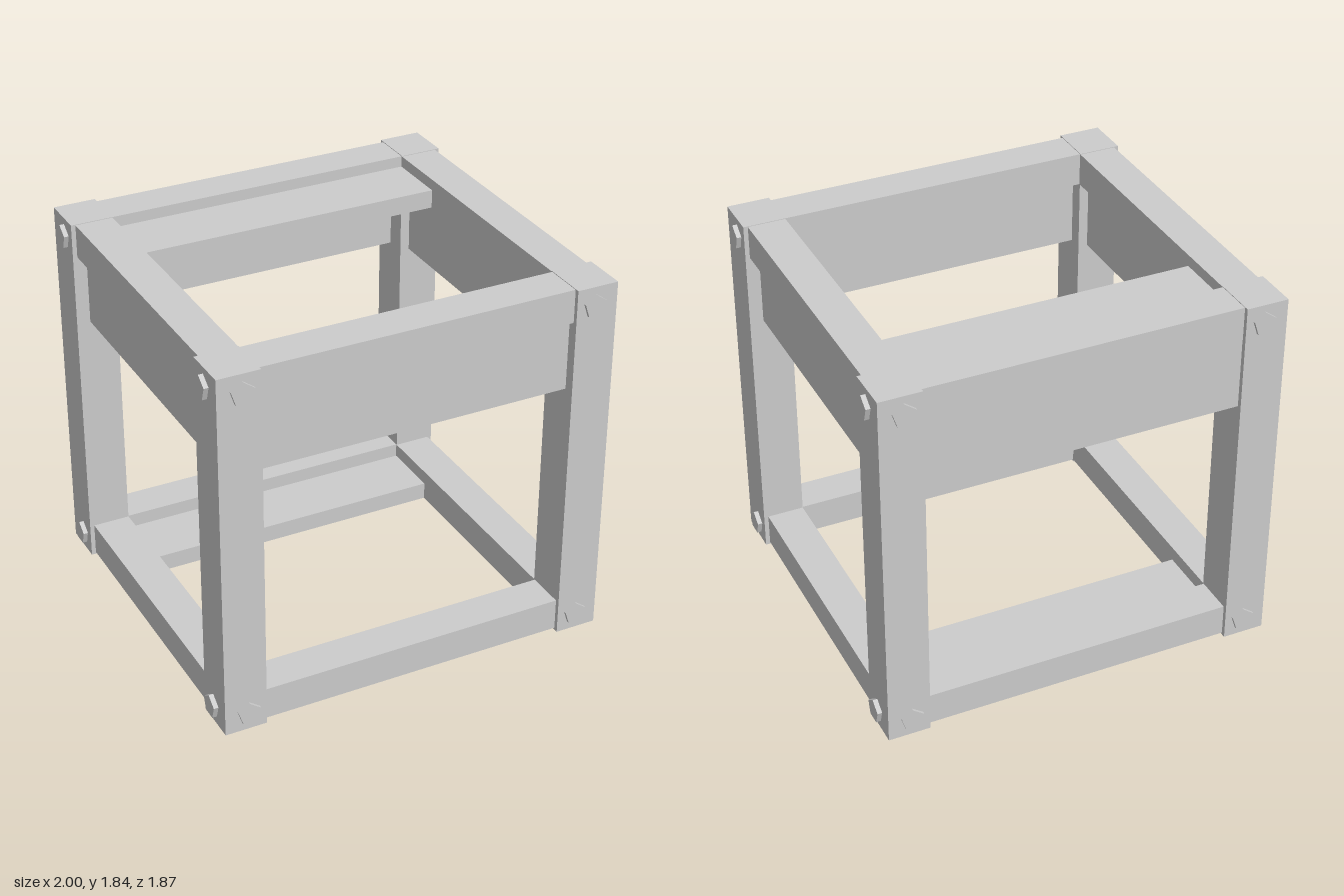
import * as THREE from 'three';

export function createModel() {
  const model = new THREE.Group();
  model.name = 'boltedTimberFrame';
  const grey = new THREE.MeshStandardMaterial({ color: 0xcccccc, flatShading: true });
  grey.name = 'plainGrey';

  // Box given by its low and high limits on each axis
  function beam(name, [x0, x1], [y0, y1], [z0, z1]) {
    const mesh = new THREE.Mesh(new THREE.BoxGeometry(x1 - x0, y1 - y0, z1 - z0), grey);
    mesh.position.set((x0 + x1) / 2, (y0 + y1) / 2, (z0 + z1) / 2);
    mesh.name = name;
    model.add(mesh);
  }
  const span = (a, b, side) => (side > 0 ? [a, b] : [-b, -a]);

  // Five-sided bolt heads, one point upwards
  const boltGeometry = new THREE.CylinderGeometry(0.058, 0.058, 0.06, 5);
  boltGeometry.rotateX(-Math.PI / 2);
  function bolt(name, x, y, z, turn) {
    const mesh = new THREE.Mesh(boltGeometry, grey);
    mesh.position.set(x, y, z);
    mesh.rotation.y = turn;
    mesh.name = name;
    model.add(mesh);
  }

  const innerX = 0.77, innerZ = 0.7;
  const acrossX = [-innerX, innerX], acrossZ = [-innerZ, innerZ];

  // Corner posts with bolts on both outer faces
  for (const sx of [-1, 1]) {
    for (const sz of [-1, 1]) {
      beam('cornerPost', span(innerX, 0.977, sx), [0, 1.84], span(innerZ, 0.922, sz));
      for (const y of [0.09, 1.75]) {
        bolt('endBolt', sx * 0.86, y, sz * 0.907, sz > 0 ? 0 : Math.PI);
        bolt('sideBolt', sx * 0.97, y, sz * 0.795, sx * Math.PI / 2);
      }
    }
  }

  // Top and bottom rails on all four sides
  for (const [level, y] of [['bottom', [0.01, 0.17]], ['top', [1.672, 1.837]]]) {
    for (const s of [-1, 1]) {
      beam(level + 'CrossRail', acrossX, y, span(0.705, 0.9, s));
      beam(level + 'SideRail', span(innerX, 0.955, s), y, acrossZ);
    }
  }

  // Upright apron boards under the top rails
  const apronY = [1.32, 1.672];
  beam('frontApron', acrossX, apronY, [0.775, 0.868]);
  beam('backApron', acrossX, apronY, [-0.898, -0.805]);
  for (const s of [-1, 1]) beam('sideApron', span(0.818, 0.91, s), apronY, acrossZ);

  // Flat boards along the back rails
  beam('topShelfBoard', acrossX, [1.69, 1.782], [-0.71, -0.393]);
  beam('bottomShelfBoard', acrossX, [0.012, 0.1], [-0.71, -0.393]);

  return model;
}
